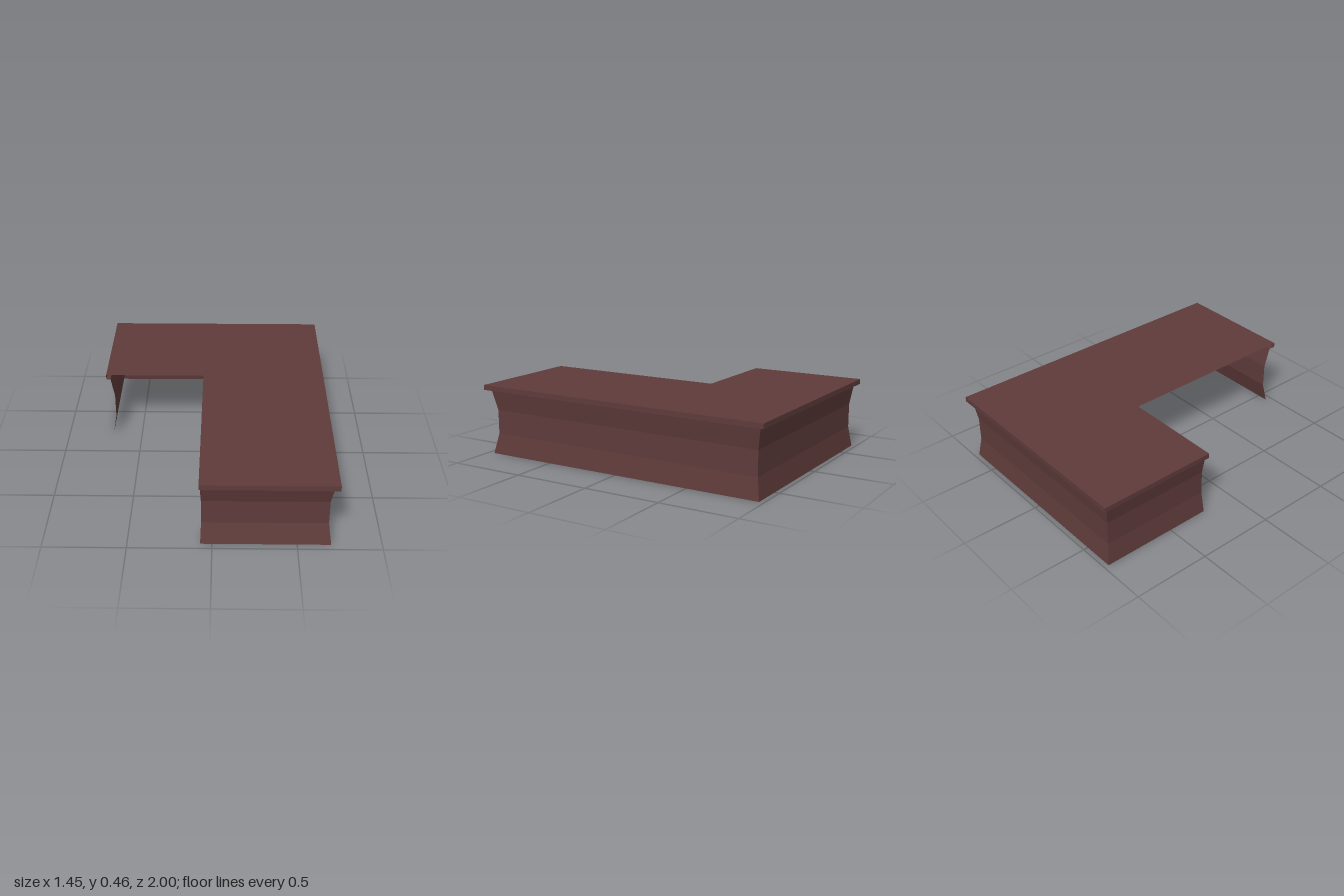
import * as THREE from 'three';

export function createModel() {
  const model = new THREE.Group();
  model.name = 'cornerCounter';
  const wood = new THREE.MeshStandardMaterial({ color: 0x5e3b3a, side: THREE.DoubleSide });
  wood.name = 'dark brown wood';

  // L-shaped worktop sheet; its inner edges have no rim
  const outline = [[-0.725, -1], [0.725, -1], [0.725, 1], [-0.074, 1], [-0.074, -0.23], [-0.725, -0.23]];
  const shape = new THREE.Shape(outline.map(([x, z]) => new THREE.Vector2(x, -z)));
  const sheet = new THREE.ShapeGeometry(shape);
  sheet.rotateX(-Math.PI / 2).translate(0, 0.455, 0);
  const top = new THREE.Mesh(sheet, wood);
  top.name = 'worktop';
  model.add(top);

  // Plan paths of the outer sides: wall foot and head, pinched waist, and worktop edge
  const wide = [[-0.07, 0.958], [0.7, 0.958], [0.7, -0.97], [-0.697, -0.97], [-0.697, -0.23]];
  const waist = [[-0.064, 0.925], [0.681, 0.925], [0.681, -0.95], [-0.674, -0.95], [-0.674, -0.234]];
  const edge = [[-0.074, 1], [0.725, 1], [0.725, -1], [-0.725, -1], [-0.725, -0.23]];
  const wallRows = [[0, wide], [0.135, waist], [0.29, waist], [0.423, wide]];
  const rimRows = [[0.423, wide], [0.423, edge], [0.455, edge]];

  // One side as a thin sheet of flat bands, mitred at the corners and open to the inside
  const addSide = (name, rows, i) => {
    const positions = [];
    for (let r = 0; r < rows.length - 1; r++) {
      const corner = (row, k) => [rows[row][1][k][0], rows[row][0], rows[row][1][k][1]];
      const a = corner(r, i), b = corner(r, i + 1), c = corner(r + 1, i + 1), d = corner(r + 1, i);
      positions.push(...a, ...b, ...c, ...a, ...c, ...d);
    }
    const geometry = new THREE.BufferGeometry();
    geometry.setAttribute('position', new THREE.Float32BufferAttribute(positions, 3));
    geometry.computeVertexNormals();
    const mesh = new THREE.Mesh(geometry, wood);
    mesh.name = name;
    model.add(mesh);
  };

  // Concave wall, with overhanging ledge and rim above it, on each outer side
  ['front', 'left', 'back', 'right'].forEach((side, i) => {
    addSide(side + 'Wall', wallRows, i);
    addSide(side + 'Rim', rimRows, i);
  });

  return model;
}
